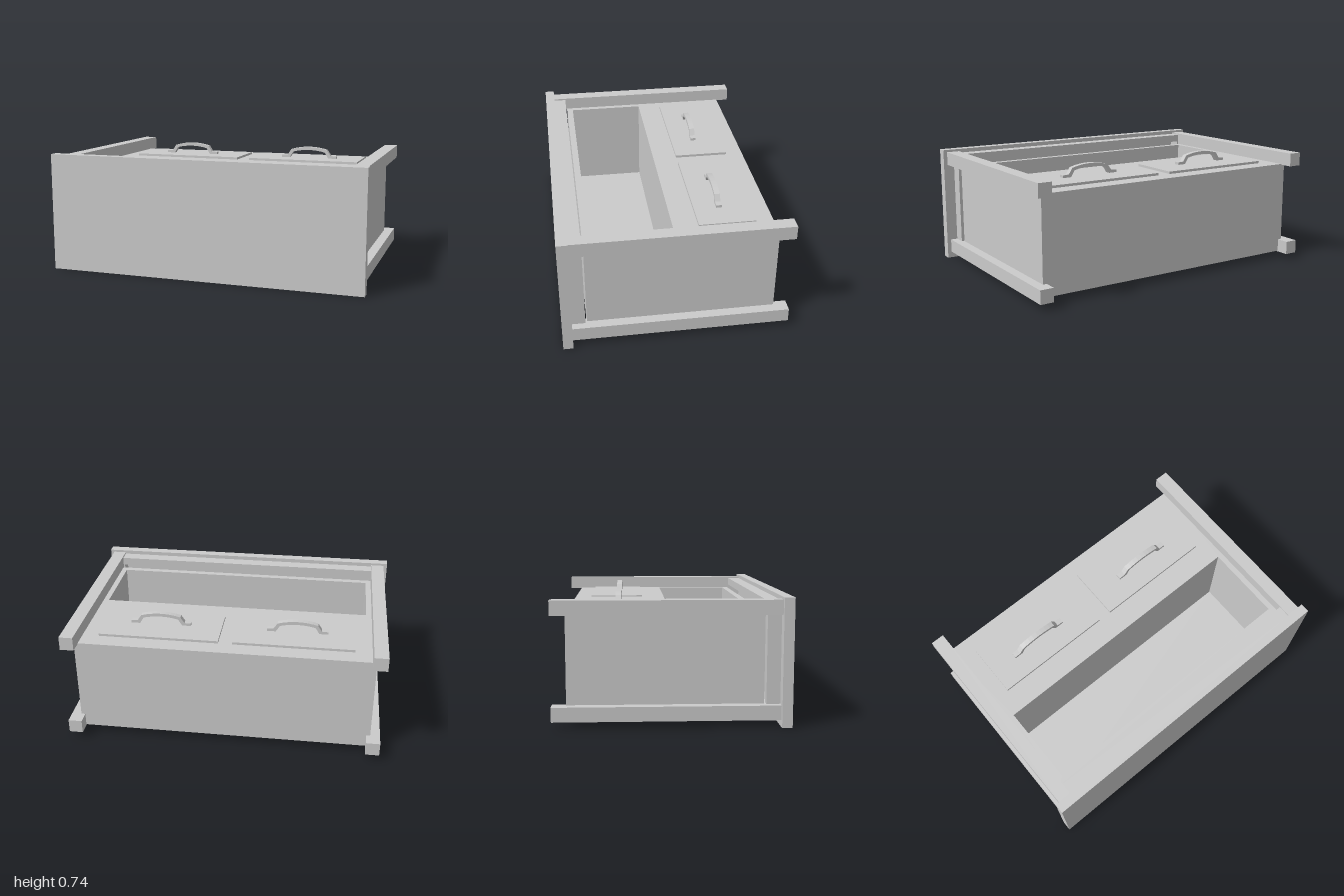
import * as THREE from 'three';

export function createModel() {
  const group = new THREE.Group();
  const mat = new THREE.MeshStandardMaterial({ color: 0xcccccc, flatShading: true });

  const add = (name, geometry) => {
    const mesh = new THREE.Mesh(geometry, mat);
    mesh.name = name;
    group.add(mesh);
    return mesh;
  };
  // Box given by its limits on each axis
  const box = (name, x0, x1, y0, y1, z0, z1) => {
    const mesh = add(name, new THREE.BoxGeometry(x1 - x0, y1 - y0, z1 - z0));
    mesh.position.set((x0 + x1) / 2, (y0 + y1) / 2, (z0 + z1) / 2);
    return mesh;
  };
  const rect = (path, x0, x1, y0, y1) => {
    path.moveTo(x0, y0);
    path.lineTo(x1, y0);
    path.lineTo(x1, y1);
    path.lineTo(x0, y1);
    path.closePath();
    return path;
  };

  // Table top, standing upright at the front
  box('tableTop', -1, 1, 0, 0.74, 0.62, 0.68);

  // Four legs running back from the table top
  for (const s of [-1, 1]) {
    for (const [y0, y1] of [[0.04, 0.125], [0.64, 0.725]]) {
      box('leg', s * 0.9325 - 0.0425, s * 0.9325 + 0.0425, y0, y1, -0.68, 0.62);
    }
  }

  // Apron frame between the legs, behind the table top
  const apron = rect(new THREE.Shape(), -0.93, 0.93, 0.035, 0.715);
  apron.holes.push(rect(new THREE.Path(), -0.88, 0.88, 0.085, 0.665));
  add('apron', new THREE.ExtrudeGeometry(apron, { depth: 0.08, bevelEnabled: false }))
    .position.z = 0.54;

  // Cabinet with an open compartment
  const cabinet = rect(new THREE.Shape(), -0.915, 0.915, -0.53, 0.598);
  cabinet.holes.push(rect(new THREE.Path(), -0.855, 0.855, -0.49, 0));
  const shell = add('cabinet', new THREE.ExtrudeGeometry(cabinet, { depth: 0.6, bevelEnabled: false }));
  shell.rotation.x = -Math.PI / 2;
  shell.position.y = 0.045;
  box('compartmentFloor', -0.855, 0.855, 0.045, 0.075, 0, 0.49);

  // Arched handle profile: flat feet, steep sides, gently bowed grip
  const handle = new THREE.Shape();
  handle.moveTo(-0.19, 0);
  handle.lineTo(-0.135, 0);
  handle.lineTo(-0.11, 0.04);
  handle.quadraticCurveTo(0, 0.068, 0.11, 0.04);
  handle.lineTo(0.135, 0);
  handle.lineTo(0.19, 0);
  handle.lineTo(0.19, 0.016);
  handle.lineTo(0.15, 0.018);
  handle.lineTo(0.125, 0.056);
  handle.quadraticCurveTo(0, 0.092, -0.125, 0.056);
  handle.lineTo(-0.15, 0.018);
  handle.lineTo(-0.19, 0.016);
  handle.closePath();
  const handleGeometry = new THREE.ExtrudeGeometry(handle, { depth: 0.034, bevelEnabled: false, curveSegments: 8 });

  // Two drawers with handles
  for (const s of [-1, 1]) {
    box('drawerFront', s * 0.415 - 0.372, s * 0.415 + 0.372, 0.64, 0.66, -0.49, -0.15);
    add('drawerHandle', handleGeometry).position.set(s * 0.43, 0.66, -0.319);
  }

  return group;
}
